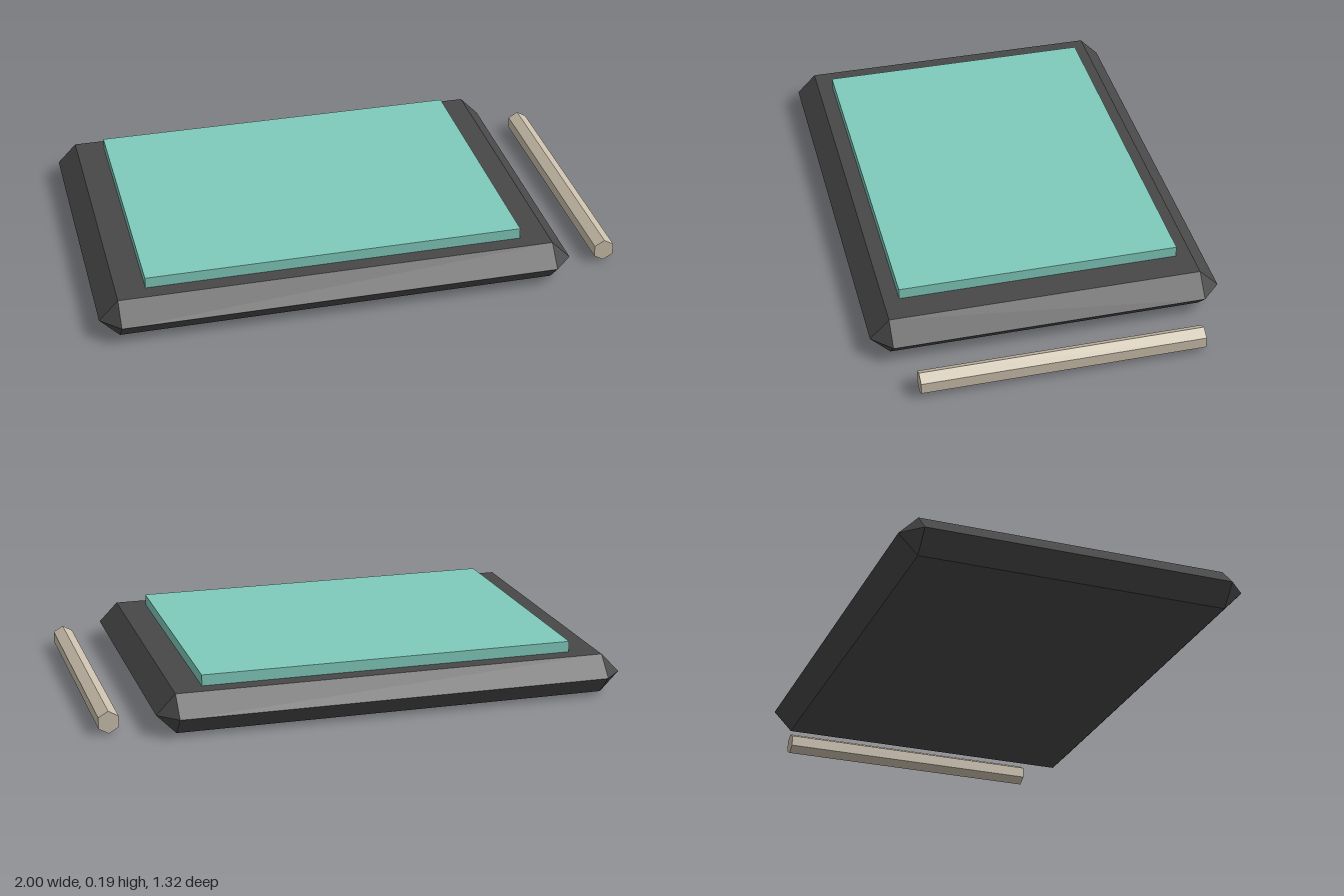
import * as THREE from 'three';
import { ConvexGeometry } from 'three/addons/geometries/ConvexGeometry.js';

const darkGrey = new THREE.MeshStandardMaterial({ color: 0x484848, flatShading: true });
darkGrey.name = 'dark grey';
const teal = new THREE.MeshStandardMaterial({ color: 0x80cbbc, flatShading: true });
teal.name = 'teal';
const beige = new THREE.MeshStandardMaterial({ color: 0xcabfac, flatShading: true });
beige.name = 'beige';

function addPart(group, name, geometry, material, x, y, z = 0) {
  const mesh = new THREE.Mesh(geometry, material);
  mesh.name = name;
  mesh.position.set(x, y, z);
  group.add(mesh);
  return mesh;
}

// Slab whose edges are bevelled to a ridge at mid height, with cut corners
function bevelledSlab(halfX, halfY, halfZ, bevel) {
  const points = [];
  for (const sx of [-1, 1]) {
    for (const sz of [-1, 1]) {
      const x = sx * (halfX - bevel), z = sz * (halfZ - bevel);
      points.push(
        new THREE.Vector3(x, halfY, z),
        new THREE.Vector3(x, -halfY, z),
        new THREE.Vector3(sx * halfX, 0, z),
        new THREE.Vector3(x, 0, sz * halfZ)
      );
    }
  }
  return new ConvexGeometry(points);
}

export function createModel() {
  const model = new THREE.Group();
  model.name = 'tablet with stylus';

  // Tablet body and the raised screen on it
  addPart(model, 'tabletBody', bevelledSlab(0.9, 0.075, 0.662, 0.073), darkGrey, -0.1, 0.075);
  addPart(model, 'screen', new THREE.BoxGeometry(1.434, 0.052, 1.06), teal, -0.1, 0.166);

  // Six-sided stylus lying beside the tablet
  const stylus = new THREE.CylinderGeometry(0.043, 0.043, 1.06, 6);
  stylus.rotateX(Math.PI / 2);
  addPart(model, 'stylus', stylus, beige, 0.9628, 0.044);

  return model;
}
